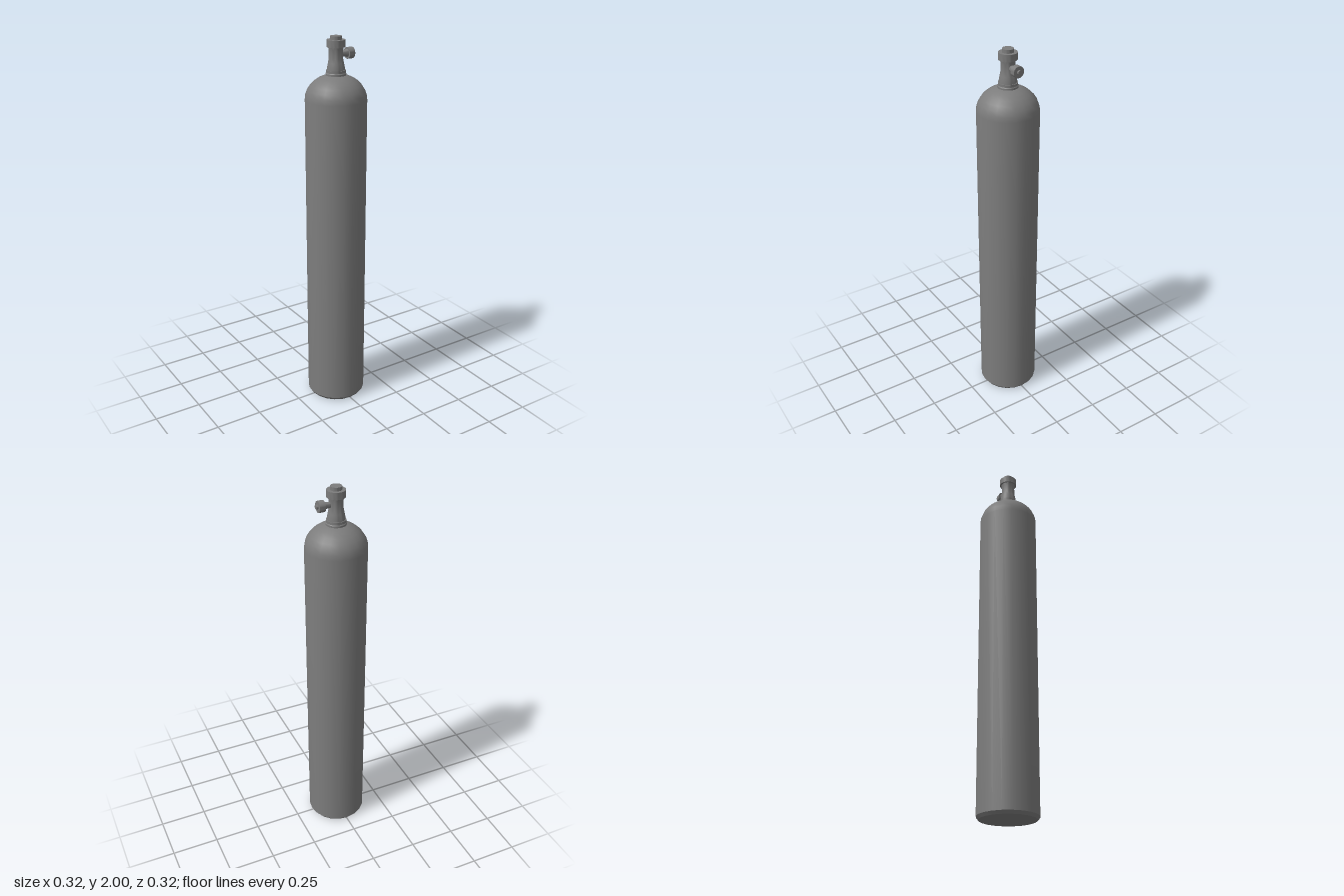
import * as THREE from 'three';
import { toCreasedNormals } from 'three/addons/utils/BufferGeometryUtils.js';

const material = new THREE.MeshStandardMaterial({ color: 0x7c7c7c });

// Turned part from [radius, height] pairs, listed bottom to top
function turned(name, profile, sides) {
  const points = profile.map(([r, y]) => new THREE.Vector2(r, y));
  const geometry = toCreasedNormals(new THREE.LatheGeometry(points, sides), 0.6);
  const mesh = new THREE.Mesh(geometry, material);
  mesh.name = name;
  return mesh;
}

export function createModel() {
  const model = new THREE.Group();
  model.name = 'gasCylinder';

  // Tank: flat base with chamfer, straight wall, elliptical shoulder
  const R = 0.158, shoulderY = 1.685, shoulderHeight = 0.13;
  const tank = [[0, 0], [0.146, 0], [R, 0.016]];
  for (let i = 0; i <= 8; i++) {
    const a = (i / 8) * Math.PI / 2;
    tank.push([i === 8 ? 0 : R * Math.cos(a), shoulderY + shoulderHeight * Math.sin(a)]);
  }
  model.add(turned('tank', tank, 20));

  // Neck ring where the valve screws in
  model.add(turned('neckRing', [
    [0, 1.8], [0.052, 1.8], [0.052, 1.816], [0.049, 1.82], [0.049, 1.833], [0, 1.833],
  ], 32));

  // Waisted valve body with wider head
  model.add(turned('valveBody', [
    [0, 1.83], [0.045, 1.83], [0.044, 1.848], [0.04, 1.868], [0.036, 1.888],
    [0.036, 1.93], [0.039, 1.946], [0.047, 1.946], [0.047, 1.982], [0, 1.982],
  ], 32));
  model.add(turned('topCap', [[0, 1.975], [0.029, 1.975], [0.029, 2], [0, 2]], 32));

  // Side valve, turned along its own axis and laid towards +x
  const sideValve = new THREE.Group();
  sideValve.name = 'sideValve';
  sideValve.add(
    turned('stem', [[0, 0.02], [0.015, 0.02], [0.015, 0.048], [0.02, 0.067], [0, 0.067]], 24),
    turned('handwheel', [[0, 0.065], [0.029, 0.065], [0.029, 0.096], [0, 0.096]], 24),
    turned('hub', [[0, 0.09], [0.011, 0.09], [0.011, 0.106], [0, 0.106]], 24),
  );
  sideValve.rotation.z = -Math.PI / 2;
  sideValve.position.y = 1.91;
  model.add(sideValve);

  return model;
}
